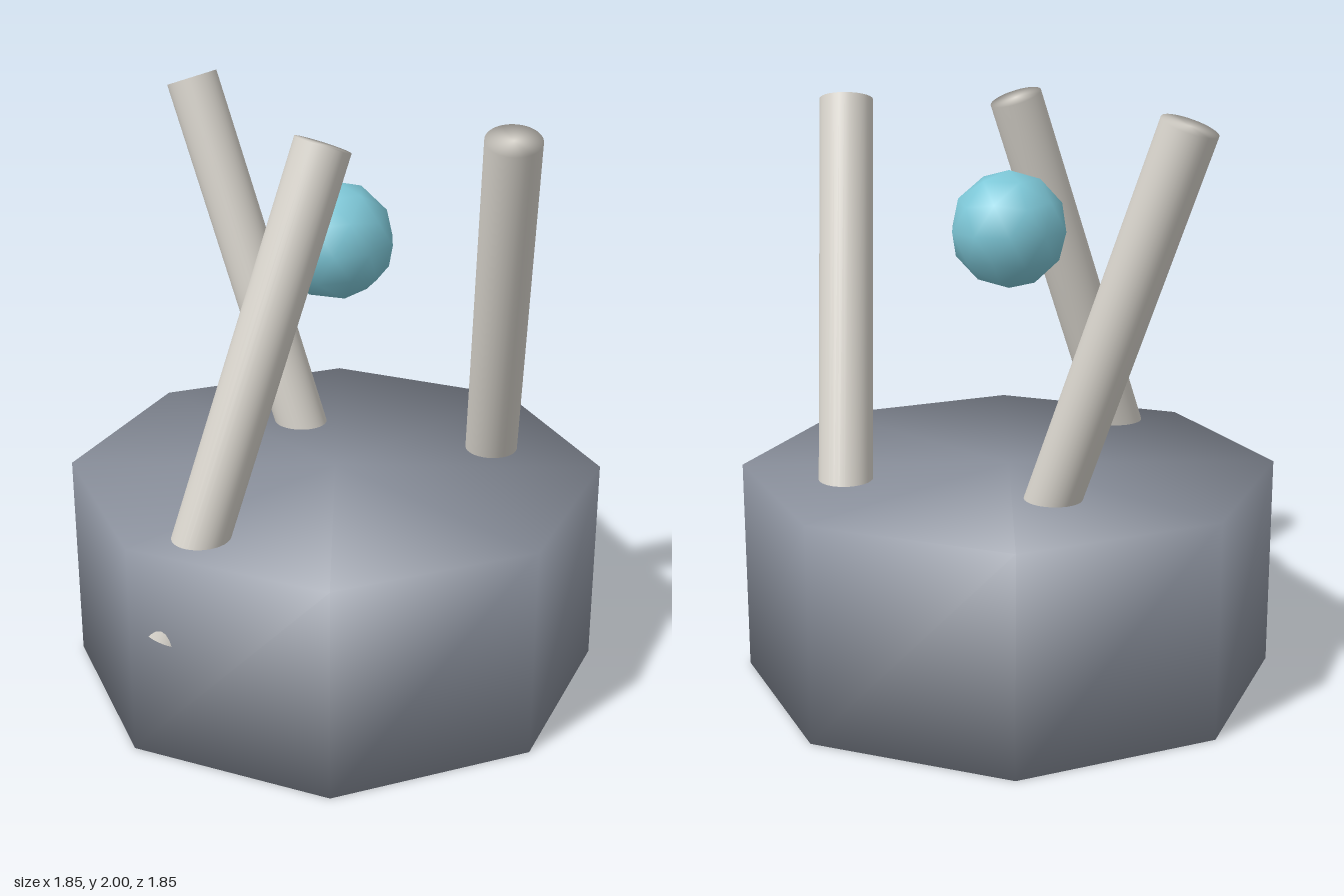
import * as THREE from 'three';
import { mergeVertices } from 'three/addons/utils/BufferGeometryUtils.js';

// Weld all edges so the shading runs smoothly over rims and corners
function smoothCylinder(radius, height, sides) {
  const geo = new THREE.CylinderGeometry(radius, radius, height, sides);
  geo.deleteAttribute('normal');
  geo.deleteAttribute('uv');
  const welded = mergeVertices(geo, 1e-4);
  welded.computeVertexNormals();
  return welded;
}

function material(name, color) {
  const m = new THREE.MeshStandardMaterial({ color });
  m.name = name;
  return m;
}

export function createModel() {
  const group = new THREE.Group();
  const slate = material('slate grey', 0x8a909c);
  const ivory = material('ivory', 0xd8d4cc);
  const aqua = material('aqua', 0x7ec8d8);

  const add = (name, geo, mat) => {
    const mesh = new THREE.Mesh(geo, mat);
    mesh.name = name;
    group.add(mesh);
    return mesh;
  };

  // Octagonal base with corners on the axes
  add('base', smoothCylinder(0.924, 0.74, 8), slate).position.y = 0.37;

  // Three leaning rods, set 120 degrees apart, sunk into the base
  const rodGeo = smoothCylinder(0.092, 1.66, 32);
  const up = new THREE.Vector3(0, 1, 0);
  const tilt = THREE.MathUtils.degToRad(20);
  for (let i = 0; i < 3; i++) {
    const place = (i * Math.PI * 2) / 3;
    const lean = Math.PI / 2 - place;
    const dir = new THREE.Vector3(
      Math.cos(lean) * Math.sin(tilt), Math.cos(tilt), Math.sin(lean) * Math.sin(tilt));
    const rod = add('rod' + (i + 1), rodGeo, ivory);
    rod.position.set(0.555 * Math.cos(place), 1.19, 0.555 * Math.sin(place));
    rod.quaternion.setFromUnitVectors(up, dir);
  }

  // Floating faceted ball, turned so that one corner points straight up
  const ballGeo = new THREE.IcosahedronGeometry(0.2, 1);
  ballGeo.rotateZ(0.5536);
  add('ball', ballGeo, aqua).position.y = 1.56;

  return group;
}
